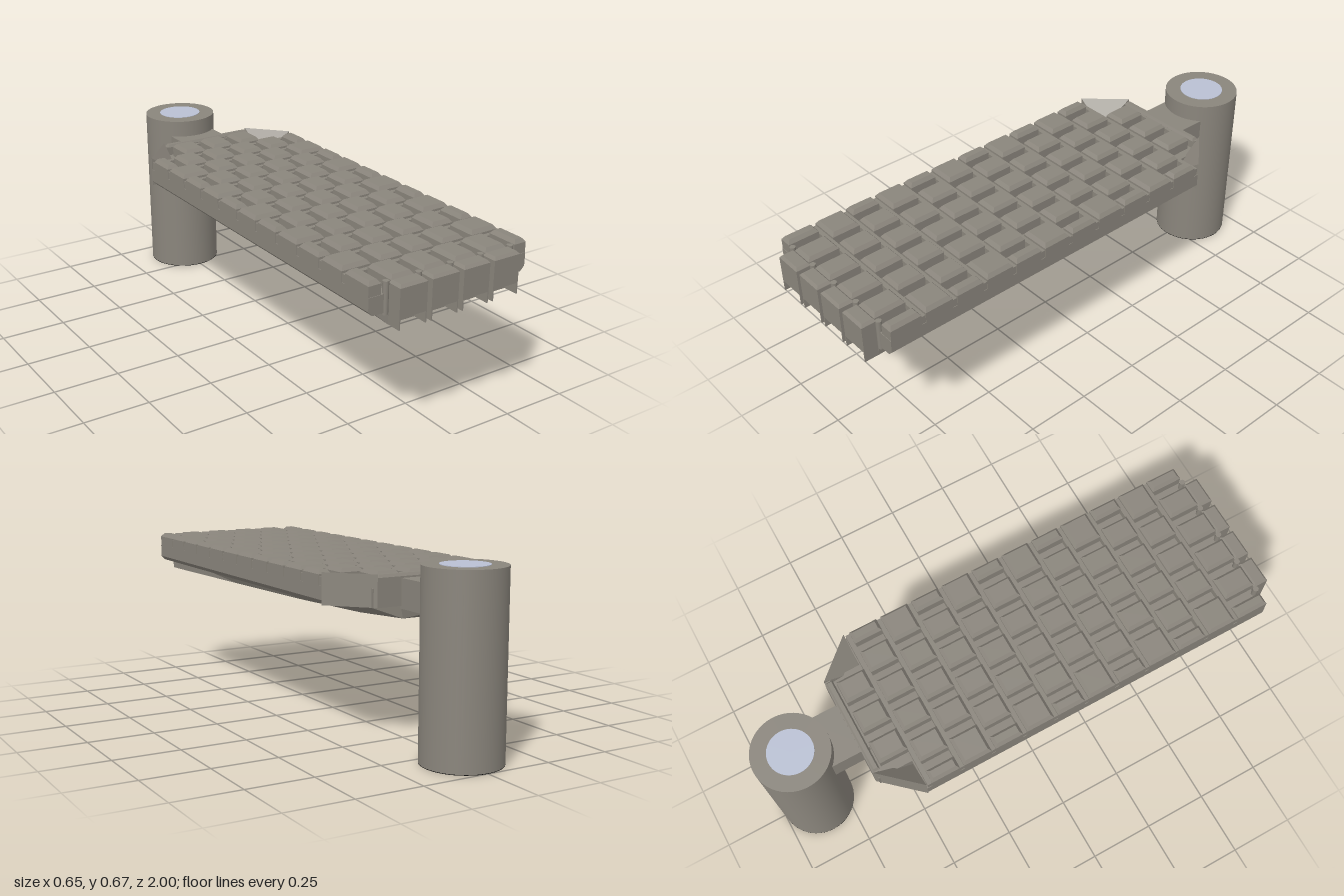
import * as THREE from 'three';

export function createModel() {
  const root = new THREE.Group();
  const stone = new THREE.MeshStandardMaterial({ color: 0x8a857c });
  stone.name = 'warm grey';
  const pale = new THREE.MeshStandardMaterial({ color: 0xb9c0d3 });
  pale.name = 'pale blue grey';
  const black = new THREE.MeshStandardMaterial({ color: 0x0c0c0c });
  black.name = 'black';

  const add = (geo, name, mat = stone, parent = root) => {
    const m = new THREE.Mesh(geo, mat);
    m.name = name;
    parent.add(m);
    return m;
  };
  const group = (name) => {
    const g = new THREE.Group();
    g.name = name;
    root.add(g);
    return g;
  };
  // Box given by its limits, its top optionally drawn in by an inset
  const block = (x0, x1, y0, y1, z0, z1, inset = 0) => {
    const g = new THREE.BoxGeometry(x1 - x0, y1 - y0, z1 - z0);
    const p = g.attributes.position;
    for (let i = 0; i < p.count; i++) {
      if (p.getY(i) > 0) {
        p.setX(i, p.getX(i) - Math.sign(p.getX(i)) * inset);
        p.setZ(i, p.getZ(i) - Math.sign(p.getZ(i)) * inset);
      }
    }
    g.translate((x0 + x1) / 2, (y0 + y1) / 2, (z0 + z1) / 2);
    g.computeVertexNormals();
    return g;
  };
  // Prism from a profile in x and y, run from z0 to z1
  const prism = (pts, z0, z1) => {
    const s = new THREE.Shape(pts.map(([x, y]) => new THREE.Vector2(x, y)));
    return new THREE.ExtrudeGeometry(s, { depth: z1 - z0, bevelEnabled: false }).translate(0, 0, z0);
  };
  // Flat-shaded solid from triangles of points
  const facets = (tris) => {
    const g = new THREE.BufferGeometry();
    g.setAttribute('position', new THREE.Float32BufferAttribute(tris.flat(2), 3));
    g.computeVertexNormals();
    return g;
  };
  const quad = (a, b, c, d) => [[a, b, c], [a, c, d]];

  // Column with pale top and black foot
  const column = group('column');
  add(new THREE.CylinderGeometry(0.145, 0.145, 0.663, 48).translate(0, 0.3335, -0.855), 'columnShaft', stone, column);
  add(new THREE.CylinderGeometry(0.085, 0.085, 0.002, 40).translate(0, 0.666, -0.855), 'columnTopDisc', pale, column);
  add(new THREE.CylinderGeometry(0.145, 0.145, 0.002, 48).translate(0, 0.001, -0.855), 'columnFoot', black, column);

  // Arm joining the slab to the column
  add(block(-0.1, 0.1, 0.495, 0.6, -0.76, -0.6), 'arm');

  // Slab body
  const floor = 0.57;
  add(prism([[-0.31, 0.505], [0.31, 0.505], [0.327, 0.522], [0.327, floor], [-0.327, floor], [-0.327, 0.522]], -0.49, 0.945), 'slab');
  add(block(-0.21, 0.21, 0.505, floor, -0.625, -0.49), 'slabBack');
  add(block(-0.195, 0.195, 0.505, 0.606, -0.635, -0.612), 'slabBackWall');
  add(block(-0.19, 0.19, 0.606, 0.616, -0.632, -0.605, 0.006), 'slabBackRim');

  // Back corners: upright outer wall, steep hollow inside
  for (const s of [-1, 1]) {
    const at = (x, y, z) => [s * x, y, z];
    const a = at(0.327, 0.505, -0.49), b = at(0.195, 0.505, -0.635), c = at(0.205, 0.505, -0.49);
    const A = at(0.327, 0.618, -0.49), B = at(0.195, 0.618, -0.635), C = at(0.205, 0.525, -0.49);
    let tris = [[a, c, b], [A, B, C], ...quad(a, b, B, A), ...quad(b, c, C, B), ...quad(c, a, A, C)];
    if (s < 0) tris = tris.map(([p, q, r]) => [p, r, q]);
    // Corner order is set so that outward faces show on both sides
    const flipped = tris.map(([p, q, r]) => [p, r, q]);
    const n = new THREE.Vector3().subVectors(new THREE.Vector3(...tris[0][1]), new THREE.Vector3(...tris[0][0]))
      .cross(new THREE.Vector3().subVectors(new THREE.Vector3(...tris[0][2]), new THREE.Vector3(...tris[0][0])));
    add(facets(n.y < 0 ? tris : flipped), s > 0 ? 'leftBackCorner' : 'rightBackCorner');
  }

  // Rows of bevelled blocks, every other row shifted by half a pitch
  const treads = group('treadBlocks');
  const pitch = 0.1288;
  for (let row = 0; row < 12; row++) {
    const zc = 0.876 - row * pitch;
    const z0 = zc - 0.056, z1 = row === 0 ? 0.943 : zc + 0.056;
    const limit = row === 11 ? 0.205 : 0.327;
    const shift = row % 2 === 0 ? 0.5 : 0;
    for (let i = -3; i <= 3; i++) {
      const xc = (i + shift) * 0.129;
      let x0 = Math.max(xc - 0.045, -limit), x1 = Math.min(xc + 0.045, limit);
      if (!shift && row < 11 && i === -2) x0 = -limit;
      if (!shift && row < 11 && i === 2) x1 = limit;
      if (x1 - x0 < 0.025) continue;
      add(block(x0, x1, floor, 0.608, z0, z1), 'blockBase', stone, treads);
      add(block(x0, x1, 0.608, 0.622, z0, z1, 0.011), 'blockTop', stone, treads);
    }
    // Low bar between this row and the next
    if (row < 11) add(block(-0.325, 0.325, floor, 0.6, zc - pitch / 2 - 0.009, zc - pitch / 2 + 0.009), 'crossBar', stone, treads);
  }

  // Front teeth with thin side plates hanging below
  const teeth = group('frontTeeth');
  for (const xc of [-0.193, -0.0645, 0.0645, 0.193]) {
    const x0 = xc - 0.0545, x1 = xc + 0.0545;
    add(block(x0, x1, 0.5, 0.603, 0.94, 1), 'tooth', stone, teeth);
    add(block(x0, x1, 0.603, 0.613, 0.94, 1, 0.009), 'toothTop', stone, teeth);
    add(block(x0, x0 + 0.004, 0.46, 0.5, 0.94, 1), 'toothPlate', stone, teeth);
    add(block(x1 - 0.004, x1, 0.46, 0.5, 0.94, 1), 'toothPlate', stone, teeth);
  }
  // Upright rods in the front grooves
  for (let i = -2; i <= 2; i++) {
    add(new THREE.CylinderGeometry(0.011, 0.011, 0.115, 12).translate(i * 0.129, 0.5545, 0.94), 'grooveRod', stone, teeth);
  }

  // Keel under the slab, narrowing toward the column: z, top half width, foot half width, foot height
  const stations = [[0.945, 0.25, 0.248, 0.46], [0.4, 0.245, 0.22, 0.46], [-0.1, 0.235, 0.19, 0.46],
    [-0.45, 0.2, 0.15, 0.46], [-0.63, 0.1, 0.09, 0.46], [-0.745, 0.1, 0.09, 0.492]];
  const rings = stations.map(([z, w, f, y]) => [[w, 0.508, z], [f, y, z], [-f, y, z], [-w, 0.508, z]]);
  const tris = [...quad(...[...rings[0]].reverse()), ...quad(...rings[rings.length - 1])];
  for (let i = 0; i + 1 < rings.length; i++) {
    for (let j = 0; j < 4; j++) {
      const k = (j + 1) % 4;
      tris.push(...quad(rings[i][j], rings[i][k], rings[i + 1][k], rings[i + 1][j]));
    }
  }
  const keelGeo = facets(tris.map(([p, q, r]) => [p, q, r]));
  const keelMat = stone.clone();
  keelMat.side = THREE.DoubleSide;
  add(keelGeo, 'keel', keelMat);

  // Slot rims along the underside ledges
  const slots = group('undersideSlots');
  for (const s of [-1, 1]) {
    for (let i = 0; i < 10; i++) {
      const rim = add(new THREE.TorusGeometry(0.012, 0.0015, 4, 16), 'slotRim', pale, slots);
      rim.rotation.x = Math.PI / 2;
      rim.scale.set(0.8, 2, 1);
      rim.position.set(s * 0.278, 0.505, 0.8 - i * pitch);
    }
  }
  return root;
}
